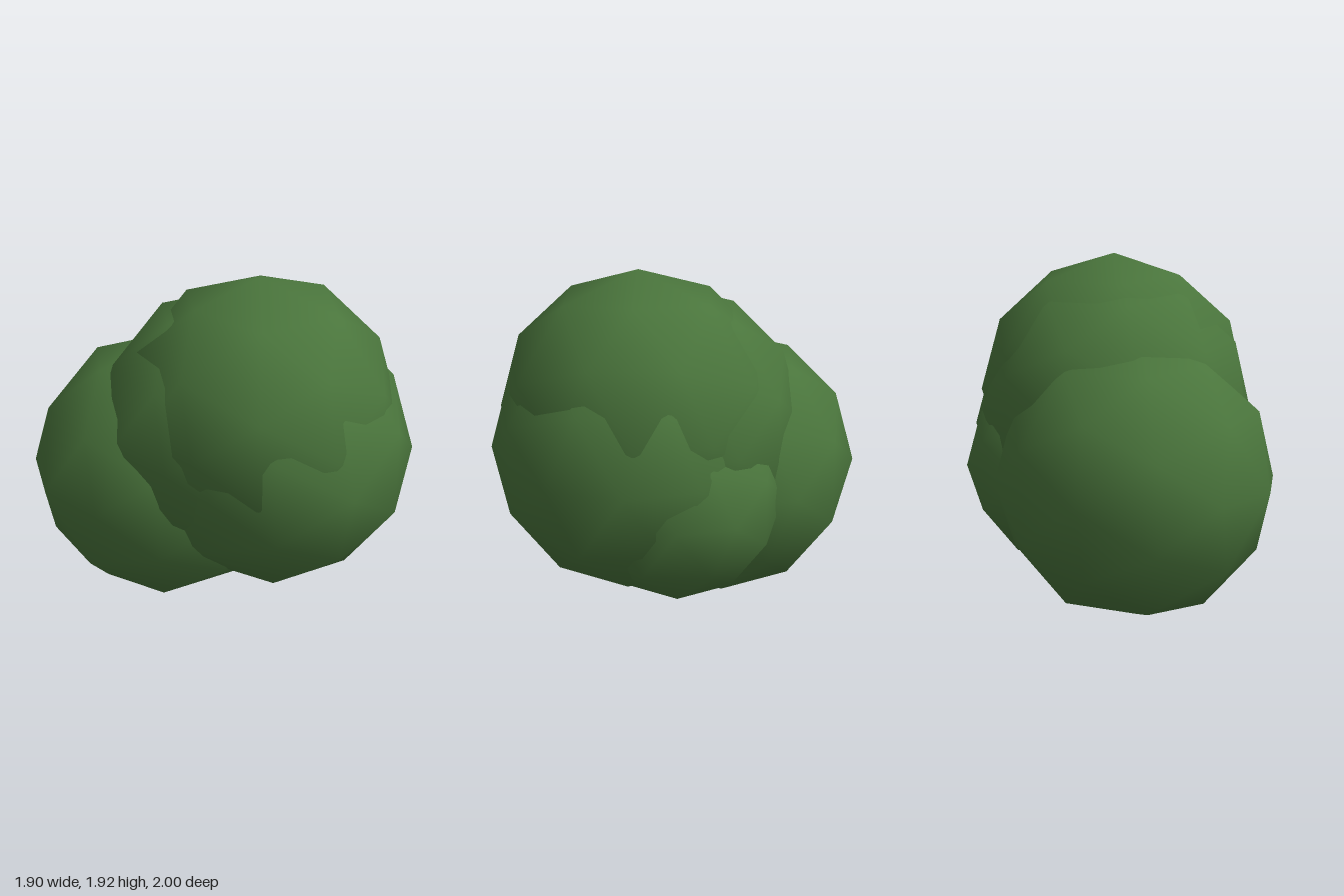
import * as THREE from 'three';

export function createModel() {
  const group = new THREE.Group();
  group.name = 'bush';
  const leafGreen = new THREE.MeshStandardMaterial({ color: 0x4a753c });
  leafGreen.name = 'leafGreen';

  // overlapping leaf clumps: name, radius, centre
  const clumps = [
    ['backRightClump', 0.75, [-0.2, 0.75, -0.25]],
    ['frontLeftClump', 0.75, [0.2, 0.96, 0.25]],
    ['topClump', 0.75, [0.13, 1.17, 0.2]],
    ['middleClump', 0.75, [0.05, 1.07, 0.07]],
    ['lowerLeftClump', 0.57, [0.32, 0.75, -0.01]],
  ];
  for (const [name, radius, centre] of clumps) {
    // detail 1 gives a faceted outline with smooth normals
    const clump = new THREE.Mesh(new THREE.IcosahedronGeometry(radius, 1), leafGreen);
    clump.name = name;
    clump.position.set(...centre);
    group.add(clump);
  }
  return group;
}
